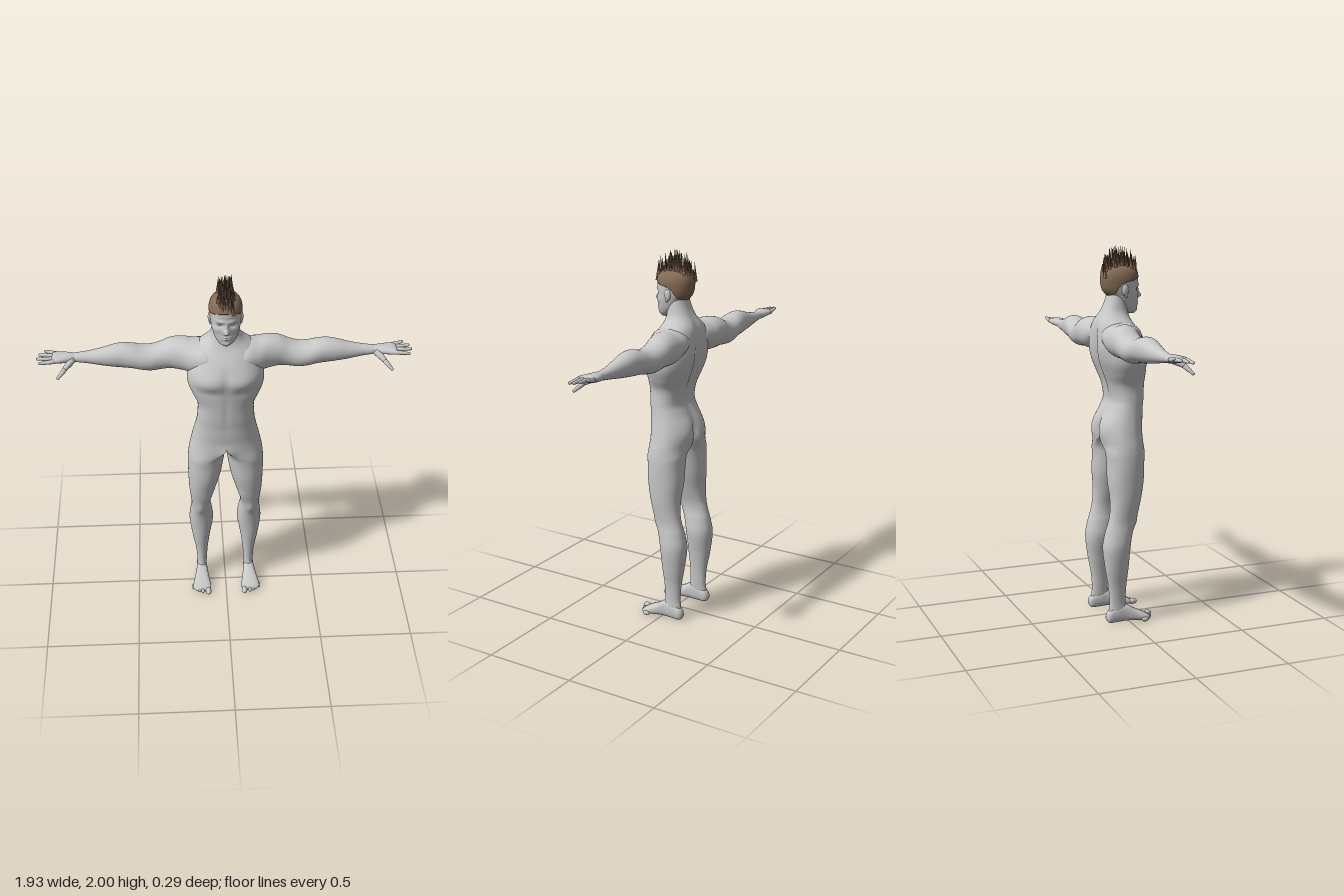
import * as THREE from 'three';
import { mergeGeometries } from 'three/addons/utils/BufferGeometryUtils.js';

const V = (x, y, z) => new THREE.Vector3(x, y, z);

// Smooth interpolation of table rows [t, ...values]
function sample(rows, t) {
  const last = rows.length - 1;
  let i = 0;
  while (i < last - 1 && t > rows[i + 1][0]) i++;
  const p = rows[Math.max(i - 1, 0)], a = rows[i], b = rows[i + 1], n = rows[Math.min(i + 2, last)];
  const h = b[0] - a[0], u = Math.min(Math.max((t - a[0]) / h, 0), 1);
  return a.slice(1).map((_, k) => {
    const c = k + 1;
    const m0 = (b[c] - p[c]) / (b[0] - p[0]) * h, m1 = (n[c] - a[c]) / (n[0] - a[0]) * h;
    return (2 * u ** 3 - 3 * u * u + 1) * a[c] + (u ** 3 - 2 * u * u + u) * m0
      + (3 * u * u - 2 * u ** 3) * b[c] + (u ** 3 - u * u) * m1;
  });
}

// Point of a rounded cross-section [minA, maxA, minB, maxB] at an angle
function sectionPoint(rows, s, angle, e, grow = 0) {
  const [a0, a1, b0, b1] = sample(rows, s);
  const c = Math.cos(angle), d = Math.sin(angle);
  return [(a0 + a1) / 2 + ((a1 - a0) / 2 + grow) * Math.sign(c) * Math.abs(c) ** e,
    (b0 + b1) / 2 + ((b1 - b0) / 2 + grow) * Math.sign(d) * Math.abs(d) ** e];
}

// Closed skin over rings of points: point(u, angle) gives each vertex
function skin(rings, seg, point) {
  const pos = [], index = [];
  for (let i = 0; i <= rings; i++)
    for (let j = 0; j < seg; j++) pos.push(...point(i / rings, j / seg * Math.PI * 2).toArray());
  for (let i = 0; i < rings; i++)
    for (let j = 0; j < seg; j++) {
      const k = (j + 1) % seg, a = i * seg + j, b = i * seg + k;
      index.push(a, a + seg, b, b, a + seg, b + seg);
    }
  for (const row of [0, rings]) {
    const mid = V(0, 0, 0), base = row * seg, centre = pos.length / 3;
    for (let j = 0; j < seg; j++) mid.add(V().fromArray(pos, (base + j) * 3));
    pos.push(...mid.divideScalar(seg).toArray());
    for (let j = 0; j < seg; j++) {
      const a = base + j, b = base + (j + 1) % seg;
      if (row) index.push(centre, b, a); else index.push(centre, a, b);
    }
  }
  const g = new THREE.BufferGeometry();
  g.setAttribute('position', new THREE.Float32BufferAttribute(pos, 3));
  g.setIndex(index);
  g.computeVertexNormals();
  return g;
}

// Soft muscle swellings and hollows: [centre, radii, push], mirrored in x
function swell(p, bumps) {
  const q = p.clone();
  for (const [c, r, d] of bumps) {
    const f = Math.exp(-(((Math.abs(p.x) - c[0]) / r[0]) ** 2 + ((p.y - c[1]) / r[1]) ** 2 + ((p.z - c[2]) / r[2]) ** 2));
    q.x += Math.sign(p.x) * d[0] * f; q.y += d[1] * f; q.z += d[2] * f;
  }
  return q;
}

function loft(rows, rings, seg, e, place, bumps = []) {
  const s0 = rows[0][0], s1 = rows[rows.length - 1][0];
  return skin(rings, seg, (u, angle) => {
    const s = s0 + (s1 - s0) * u;
    return swell(place(s, ...sectionPoint(rows, s, angle, e)), bumps);
  });
}
const alongY = (s, a, b) => V(a, s, b), alongX = (s, a, b) => V(s, b, a), alongZ = (s, a, b) => V(b, a, s);

// Tapered round-tipped digit between two points
function digit(p, q, r0, r1) {
  const dir = q.clone().sub(p), len = dir.length(), pts = [new THREE.Vector2(0, 0)];
  for (let i = 0; i <= 4; i++) pts.push(new THREE.Vector2(r0 + (r1 - r0) * i / 4 + (i === 2 ? 0.0008 : 0), (len - r1) * i / 4));
  for (let i = 1; i <= 4; i++) pts.push(new THREE.Vector2(r1 * Math.cos(i * Math.PI / 8), len - r1 + r1 * Math.sin(i * Math.PI / 8)));
  const g = new THREE.LatheGeometry(pts, 12);
  g.applyQuaternion(new THREE.Quaternion().setFromUnitVectors(V(0, 1, 0), dir.normalize()));
  return g.translate(p.x, p.y, p.z);
}
const ball = (x, y, z, rx, ry, rz) => new THREE.SphereGeometry(1, 20, 14).scale(rx, ry, rz).translate(x, y, z);

function mirrored(g) {
  const m = g.clone().scale(-1, 1, 1), ix = m.index.array;
  for (let i = 0; i < ix.length; i += 3) [ix[i], ix[i + 1]] = [ix[i + 1], ix[i]];
  return m;
}

const sym = rows => rows.map(([y, w, b, f]) => [y, -w, w, b, f]);
const TORSO = sym([[0.9, 0.2, -0.108, 0.095], [0.96, 0.196, -0.115, 0.102], [1.0, 0.188, -0.125, 0.106], [1.05, 0.177, -0.123, 0.106],
  [1.1, 0.165, -0.112, 0.11], [1.15, 0.155, -0.09, 0.112], [1.2, 0.149, -0.072, 0.117], [1.28, 0.148, -0.085, 0.122],
  [1.34, 0.175, -0.107, 0.126], [1.4, 0.196, -0.128, 0.134], [1.46, 0.196, -0.138, 0.137], [1.52, 0.18, -0.14, 0.116],
  [1.57, 0.162, -0.138, 0.086], [1.605, 0.138, -0.13, 0.06], [1.63, 0.105, -0.118, 0.048], [1.66, 0.08, -0.1, 0.04],
  [1.7, 0.069, -0.08, 0.036], [1.76, 0.06, -0.06, 0.03]]);
const ARM = [[0.04, -0.118, 0.07, 1.5, 1.58], [0.1, -0.137, 0.084, 1.465, 1.61], [0.17, -0.146, 0.058, 1.442, 1.609],
  [0.22, -0.148, 0.03, 1.441, 1.613],
  [0.28, -0.146, 0.01, 1.445, 1.604], [0.33, -0.143, 0.005, 1.44, 1.581], [0.38, -0.14, 0.01, 1.437, 1.568],
  [0.43, -0.135, 0.012, 1.445, 1.57], [0.47, -0.13, 0.008, 1.453, 1.58], [0.52, -0.122, 0, 1.457, 1.587],
  [0.57, -0.115, -0.005, 1.463, 1.58], [0.63, -0.105, -0.015, 1.471, 1.563], [0.7, -0.095, -0.028, 1.483, 1.547],
  [0.76, -0.088, -0.034, 1.492, 1.539], [0.8, -0.085, -0.04, 1.5, 1.535]];
const PALM = [[0.75, -0.08, -0.044, 1.5, 1.535], [0.78, -0.088, -0.032, 1.495, 1.538], [0.82, -0.097, -0.018, 1.498, 1.539],
  [0.86, -0.101, -0.006, 1.504, 1.538], [0.88, -0.1, -0.006, 1.51, 1.534], [0.886, -0.09, -0.015, 1.516, 1.528]];
const LEG = [[0.03, 0.118, 0.155, -0.112, -0.03], [0.07, 0.109, 0.161, -0.112, -0.008], [0.11, 0.106, 0.16, -0.107, -0.016],
  [0.2, 0.1, 0.167, -0.113, -0.013],
  [0.3, 0.087, 0.185, -0.13, -0.003], [0.42, 0.068, 0.2, -0.142, 0.008], [0.5, 0.075, 0.193, -0.128, 0.022],
  [0.55, 0.083, 0.187, -0.114, 0.036], [0.6, 0.08, 0.19, -0.103, 0.05], [0.68, 0.058, 0.198, -0.099, 0.07],
  [0.78, 0.03, 0.202, -0.108, 0.088], [0.88, 0.012, 0.203, -0.108, 0.093], [0.95, 0.004, 0.198, -0.114, 0.1],
  [1.03, 0, 0.185, -0.126, 0.104]];
const FOOT = [[-0.127, 0.02, 0.045, 0.125, 0.148], [-0.115, 0.003, 0.065, 0.113, 0.161], [-0.07, 0, 0.09, 0.107, 0.164],
  [-0.02, 0.002, 0.097, 0.103, 0.167], [0.03, 0.002, 0.068, 0.096, 0.178], [0.075, 0, 0.046, 0.088, 0.188],
  [0.1, 0.001, 0.032, 0.088, 0.186], [0.115, 0.006, 0.022, 0.092, 0.17]];
const HEAD = sym([[1.648, 0.018, 0.035, 0.083], [1.665, 0.042, 0.005, 0.094], [1.69, 0.058, -0.03, 0.099], [1.72, 0.068, -0.05, 0.1],
  [1.745, 0.073, -0.066, 0.101], [1.77, 0.077, -0.086, 0.102], [1.8, 0.08, -0.095, 0.101], [1.84, 0.079, -0.096, 0.1],
  [1.87, 0.067, -0.083, 0.085], [1.887, 0.045, -0.056, 0.058], [1.895, 0.012, -0.015, 0.016]]);
// Lower edge of the hair by direction, from back (-1) to front (1)
const HAIRLINE = [[-1, 1.745], [-0.6, 1.757], [-0.1, 1.808], [0.5, 1.824], [1, 1.843]];

const BODY_SHAPE = [
  [[0.09, 1.455, 0.13], [0.07, 0.05, 0.08], [0, -0.004, 0.012]], [[0, 1.46, 0.14], [0.014, 0.07, 0.05], [0, 0, -0.006]],
  [[0, 1.25, 0.12], [0.012, 0.12, 0.05], [0, 0, -0.004]], [[0.1, 1.385, 0.13], [0.09, 0.025, 0.06], [0, 0, -0.006]],
  [[0, 1.38, -0.13], [0.025, 0.22, 0.08], [0, 0, 0.022]], [[0.095, 1.48, -0.13], [0.045, 0.07, 0.06], [0, 0, -0.008]],
  [[0.08, 1.05, -0.12], [0.06, 0.06, 0.08], [0, 0, -0.012]], [[0, 1.03, -0.12], [0.018, 0.06, 0.08], [0, 0, 0.035]],
  [[0, 0.985, 0.1], [0.035, 0.03, 0.05], [0, 0, 0.01]],
  [[0.14, 0.55, 0.035], [0.03, 0.035, 0.03], [0, 0, 0.008]], [[0.09, 0.64, 0.05], [0.03, 0.05, 0.04], [-0.004, 0, 0.005]]];
const FACE_SHAPE = [
  [[0.03, 1.797, 0.1], [0.028, 0.009, 0.04], [0, 0, 0.006]], [[0.031, 1.774, 0.095], [0.016, 0.011, 0.04], [0, 0, -0.011]],
  [[0, 1.742, 0.1], [0.013, 0.014, 0.05], [0, -0.003, 0.022]], [[0, 1.768, 0.1], [0.01, 0.022, 0.05], [0, 0, 0.008]],
  [[0, 1.708, 0.1], [0.022, 0.005, 0.04], [0, 0, 0.005]], [[0, 1.696, 0.1], [0.02, 0.005, 0.04], [0, 0, 0.005]],
  [[0, 1.666, 0.09], [0.022, 0.012, 0.04], [0, 0, 0.006]], [[0.052, 1.745, 0.07], [0.02, 0.016, 0.04], [0.003, 0, 0.004]]];

// One side of the body: a round leg that opens into half of the torso
function halfBody() {
  const g = skin(150, 80, (u, angle) => {
    const y = 0.03 + 1.73 * u, k = THREE.MathUtils.smoothstep(y, 0.91, 1.02);
    const [lx, lz] = sectionPoint(LEG, y, angle, 0.95), [tx, tz] = sectionPoint(TORSO, y, angle, 0.88);
    const x = Math.cos(angle) > 1e-6 ? tx : 0;
    return swell(V(lx + (x - lx) * k, y, lz + (tz - lz) * k), BODY_SHAPE);
  });
  // Level normals on the centre line so both sides shade as one
  const p = g.attributes.position, n = g.attributes.normal;
  for (let i = 0; i < p.count; i++) if (Math.abs(p.getX(i)) < 1e-5) {
    const m = V(0, n.getY(i), n.getZ(i)).normalize();
    n.setXYZ(i, m.x, m.y, m.z);
  }
  return g;
}

export function createModel() {
  const group = new THREE.Group();
  const mat = (name, color) => Object.assign(new THREE.MeshStandardMaterial({ color }), { name });
  const skinMat = mat('light grey skin', 0xc8c8c8), hairMat = mat('brown hair', 0x836a55);
  const add = (name, g, m = skinMat) => { const mesh = new THREE.Mesh(g, m); mesh.name = name; group.add(mesh); };
  const pair = (name, g) => { add('left' + name, g); add('right' + name, mirrored(g)); };

  // Body and limbs
  pair('BodyAndLeg', halfBody());
  pair('Arm', loft(ARM, 64, 36, 0.95, alongX));

  // Hands
  pair('Palm', loft(PALM, 20, 28, 0.85, alongX));
  const fingers = [[-0.09, 0.925, 1.535, -0.096], [-0.066, 0.955, 1.528, -0.072], [-0.041, 0.965, 1.522, -0.043], [-0.017, 0.952, 1.514, -0.01]]
    .map(([z, x, y, tip]) => digit(V(0.865, 1.521, z), V(x, y, tip), 0.0125, 0.0075));
  fingers.push(digit(V(0.78, 1.512, -0.045), V(0.825, 1.48, 0.008), 0.02, 0.013), digit(V(0.818, 1.484, 0.001), V(0.86, 1.445, 0.036), 0.013, 0.008));
  pair('Fingers', mergeGeometries(fingers));

  // Feet
  pair('Foot', loft(FOOT, 36, 32, 0.8, alongZ));
  const toes = [0, 1, 2, 3, 4].map(i => i
    ? ball(0.117 + i * 0.0175, 0.0125, 0.122 - i * 0.007 - i * i * 0.001, 0.0095, 0.0125, 0.02)
    : ball(0.103, 0.016, 0.122, 0.016, 0.016, 0.025));
  pair('Toes', mergeGeometries(toes));

  // Head
  add('head', loft(HEAD, 100, 100, 0.96, alongY, FACE_SHAPE));
  pair('Eye', ball(0.031, 1.774, 0.077, 0.012, 0.009, 0.012));
  pair('Ear', mergeGeometries([ball(0.079, 1.774, 0.004, 0.01, 0.03, 0.018), ball(0.077, 1.749, 0.01, 0.007, 0.014, 0.01)]));

  // Hair cap that follows the skull
  add('hairCap', skin(30, 72, (u, angle) => {
    const low = sample(HAIRLINE, Math.sin(angle))[0];
    const s = low + (1.895 - low) * Math.max(0, u * 30 - 1) / 29;
    const [x, z] = sectionPoint(HEAD, s, angle, 0.96, u === 0 ? -0.004 : 0.004);
    return V(x, s + 0.005 * u, z);
  }), hairMat);

  // Spiky crest
  let seed = 7;
  const rnd = () => (seed = (seed * 16807) % 2147483647) / 2147483647;
  const spikes = [];
  for (let i = 0; i < 84; i++) {
    const z = -0.092 + 0.186 * (i / 83), x = (rnd() * 2 - 1) * 0.042;
    const dome = Math.sqrt(Math.max(0, 1 - (z / 0.1) ** 2 - (x / 0.085) ** 2));
    const base = V(x, 1.835 + 0.052 * dome, z);
    const top = 1.935 + 0.065 * (1 - (Math.abs(z) / 0.1) ** 2) - (i % 5 ? 0.055 * rnd() : 0);
    const tip = V(x * 0.65 + (rnd() - 0.5) * 0.016, top, z * 1.02 + (rnd() - 0.5) * 0.014);
    const dir = tip.clone().sub(base), len = dir.length();
    spikes.push(new THREE.ConeGeometry(0.0095, len, 6).translate(0, len / 2, 0)
      .applyQuaternion(new THREE.Quaternion().setFromUnitVectors(V(0, 1, 0), dir.normalize())).translate(base.x, base.y, base.z));
  }
  add('hairSpikes', mergeGeometries(spikes), hairMat);
  return group;
}
